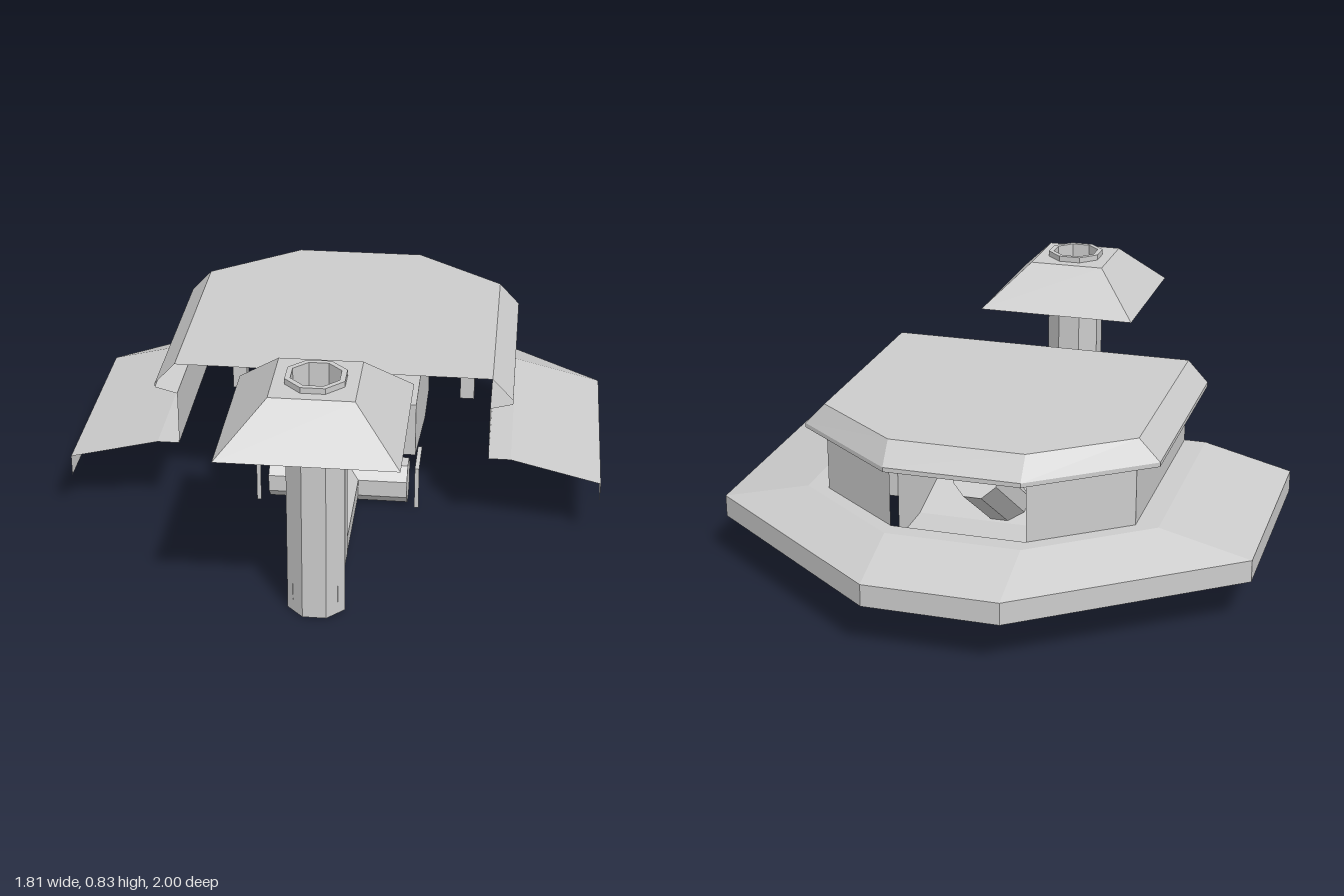
import * as THREE from 'three';

const FRONT = 0.265, CORNER = -0.49, FLAT = 0.225;
const OCT = 1 / Math.cos(Math.PI / 8);

export function createModel() {
  const model = new THREE.Group();
  const mat = new THREE.MeshStandardMaterial({ color: 0xcccccc, flatShading: true, side: THREE.DoubleSide });

  function add(name, geo, x = 0, y = 0, z = 0) {
    const mesh = new THREE.Mesh(geo, mat);
    mesh.name = name;
    mesh.position.set(x, y, z);
    model.add(mesh);
    return mesh;
  }

  // flat panels from four corners each
  function quads(list) {
    const pos = [];
    for (const [a, b, c, d] of list) pos.push(...a, ...b, ...c, ...a, ...c, ...d);
    const g = new THREE.BufferGeometry();
    g.setAttribute('position', new THREE.Float32BufferAttribute(pos, 3));
    g.computeVertexNormals();
    return g;
  }

  // eight-sided pipe between two points; r is half the width across flats
  function pipe(name, from, to, r) {
    const a = new THREE.Vector3(...from), b = new THREE.Vector3(...to);
    const dir = b.clone().sub(a);
    const geo = new THREE.CylinderGeometry(r * OCT, r * OCT, dir.length(), 8).rotateY(Math.PI / 8);
    const mesh = add(name, geo);
    mesh.position.copy(a).add(b).multiplyScalar(0.5);
    mesh.quaternion.setFromUnitVectors(new THREE.Vector3(0, 1, 0), dir.normalize());
  }

  // half-hexagon outline, open at the front
  const outline = (w, back, y) => [
    [w, y, FRONT], [w, y, CORNER], [FLAT, y, -back],
    [-FLAT, y, -back], [-w, y, CORNER], [-w, y, FRONT]];

  // sheets joining successive outlines; skipBack leaves the rear opening
  function shell(name, rows, skipBack = false) {
    const list = [];
    for (let i = 0; i + 1 < rows.length; i++) {
      const lo = outline(...rows[i]), hi = outline(...rows[i + 1]);
      for (let j = 0; j < 5; j++) {
        if (skipBack && j === 2) continue;
        list.push([lo[j], lo[j + 1], hi[j + 1], hi[j]]);
      }
    }
    add(name, quads(list));
  }

  shell('skirt', [[0.905, 1, 0.155], [0.905, 1, 0.23], [0.6, 0.775, 0.305], [0.525, 0.715, 0.305]]);
  shell('wall', [[0.525, 0.715, 0.305], [0.525, 0.715, 0.495]], true);
  shell('roofEdge', [[0.525, 0.715, 0.495], [0.6, 0.775, 0.515], [0.6, 0.775, 0.53], [0.53, 0.72, 0.605]]);
  const top = new THREE.Shape(outline(0.53, 0.72, 0).map(([x, , z]) => new THREE.Vector2(x, -z)));
  add('roofTop', new THREE.ShapeGeometry(top).rotateX(-Math.PI / 2), 0, 0.605, 0);

  // hopper under the roof, open at the rear
  const side = [[0.265, 0.495], [0.265, 0.305], [-0.28, 0.155], [-0.49, 0.155], [-0.49, 0.495]];
  const at = (x, i) => [x, side[i][1], side[i][0]];
  const hopper = [];
  for (const i of [0, 1, 2, 4]) {
    const k = (i + 1) % 5;
    hopper.push([at(-0.28, i), at(-0.28, k), at(0.28, k), at(0.28, i)]);
  }
  for (const x of [-0.28, 0.28]) {
    hopper.push([at(x, 0), at(x, 1), at(x, 2), at(x, 4)], [at(x, 2), at(x, 3), at(x, 4), at(x, 4)]);
  }
  add('hopper', quads(hopper));

  // mirrored parts
  for (const s of [-1, 1]) {
    add('rearPanel', new THREE.PlaneGeometry(0.245, 0.19), s * 0.4025, 0.4, CORNER);
    add('post', new THREE.BoxGeometry(0.052, 0.375, 0.05), s * 0.425, 0.3425, -0.465);
    // bent strap beside the cross pipe
    const a = s * 0.27, b = s * 0.285;
    add('strap', quads([
      [[a, 0.005, 0.11], [b, 0.005, 0.11], [b, 0.16, 0.11], [a, 0.16, 0.11]],
      [[a, 0.16, 0.11], [b, 0.16, 0.11], [b, 0.16, -0.05], [a, 0.16, -0.05]]]));
  }

  // pipework
  pipe('mainPipe', [0, 0.073, 0.78], [0, 0.073, -0.03], 0.073);
  pipe('risingPipe', [0, 0.078, -0.025], [0, 0.425, -0.52], 0.073);
  pipe('crossPipe', [-0.243, 0.073, 0.037], [0.243, 0.073, 0.037], 0.073);

  // hollow chimney, its front faces reaching the ground
  const tube = (r, h, start, n) =>
    new THREE.CylinderGeometry(r * OCT, r * OCT, h, n, 1, true, start, n * Math.PI / 4);
  add('chimney', tube(0.093, 0.665, Math.PI / 8, 8), 0, 0.4975, 0.72);
  add('chimneyFoot', tube(0.093, 0.165, -Math.PI * 3 / 8, 3), 0, 0.0825, 0.72);
  add('chimneyLining', tube(0.076, 0.665, Math.PI / 8, 8), 0, 0.4975, 0.72);
  for (const y of [0.165, 0.83]) {
    add('chimneyRim', new THREE.RingGeometry(0.076 * OCT, 0.093 * OCT, 8, 1, Math.PI / 8).rotateX(-Math.PI / 2), 0, y, 0.72);
  }

  // chimney cap: open square hood with a flat collar
  const R2 = Math.SQRT2;
  add('hood', new THREE.CylinderGeometry(0.133 * R2, 0.282 * R2, 0.148, 4, 1, true).rotateY(Math.PI / 4), 0, 0.737, 0.718);
  const collar = new THREE.Shape([[-1, -1], [1, -1], [1, 1], [-1, 1]].map(([x, y]) => new THREE.Vector2(x * 0.133, y * 0.133)));
  const hole = [];
  for (let i = 0; i < 8; i++) {
    const t = Math.PI / 8 - i * Math.PI / 4;
    hole.push(new THREE.Vector2(Math.cos(t), Math.sin(t)).multiplyScalar(0.093 * OCT));
  }
  collar.holes.push(new THREE.Path(hole));
  add('hoodTop', new THREE.ShapeGeometry(collar).rotateX(-Math.PI / 2), 0, 0.811, 0.718);

  return model;
}
